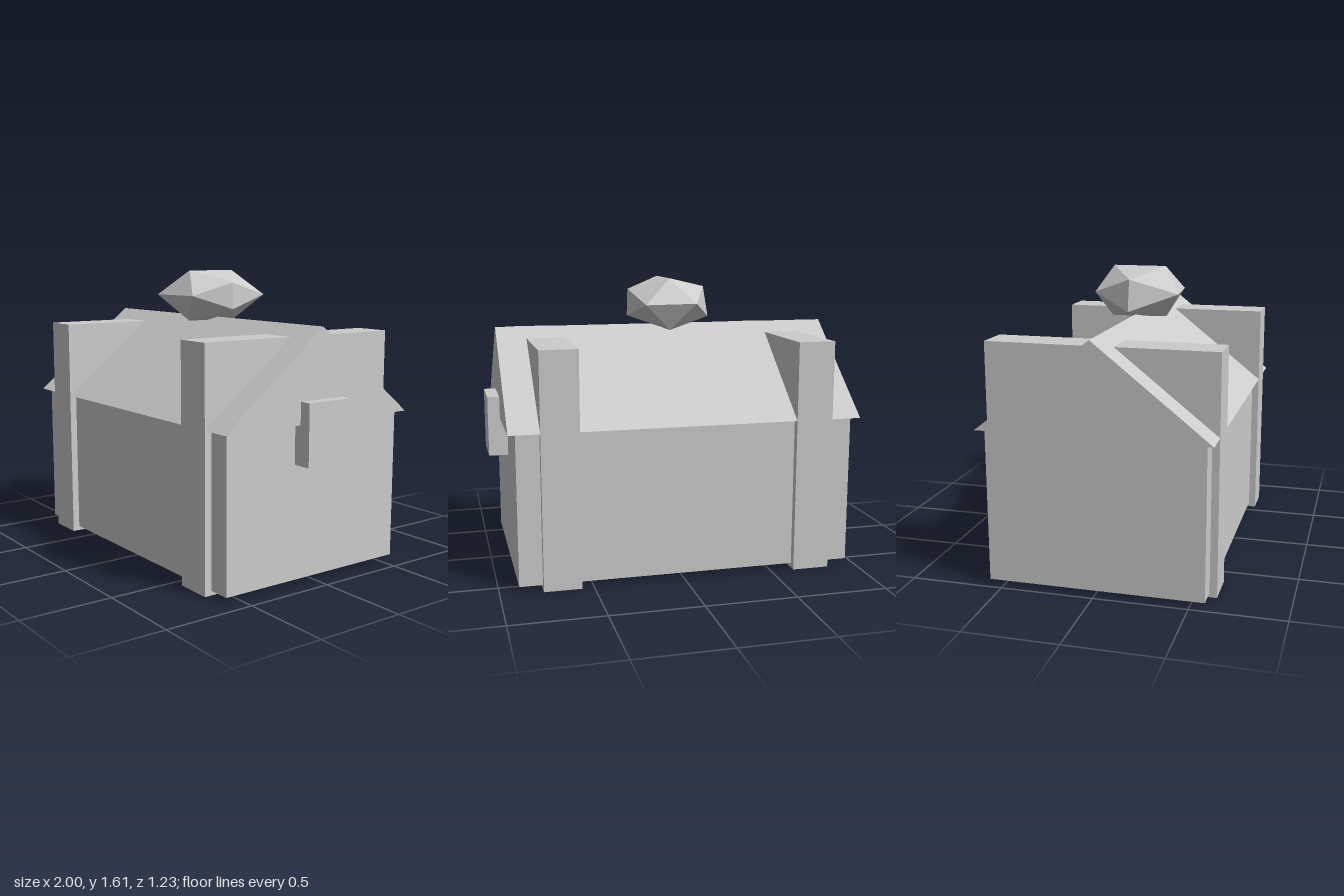
import * as THREE from 'three';
import { ConvexGeometry } from 'three/addons/geometries/ConvexGeometry.js';

export function createModel() {
  const model = new THREE.Group();
  model.name = 'gabledChest';
  const stone = new THREE.MeshStandardMaterial({ color: 0xcccccc });
  stone.name = 'light grey';

  function add(name, geometry) {
    const mesh = new THREE.Mesh(geometry, stone);
    mesh.name = name;
    model.add(mesh);
    return mesh;
  }

  // Box given by its extents, centred on z = 0
  function addBox(name, x0, x1, y0, y1, depth) {
    const mesh = add(name, new THREE.BoxGeometry(x1 - x0, y1 - y0, depth));
    mesh.position.set((x0 + x1) / 2, (y0 + y1) / 2, 0);
  }

  // Main body
  addBox('body', -0.96, 0.895, 0.025, 0.85, 1.155);

  // Gabled lid, a triangle extruded along x
  const gable = new THREE.Shape([
    new THREE.Vector2(-0.617, 0.85),
    new THREE.Vector2(0.617, 0.85),
    new THREE.Vector2(0, 1.34),
  ]);
  const roof = new THREE.ExtrudeGeometry(gable, { depth: 1.935, bevelEnabled: false });
  roof.rotateY(Math.PI / 2).translate(-1, 0, 0);
  add('roof', roof);

  // Two bands wrapping the body, their tops standing out of the roof slopes
  addBox('rightBand', -0.835, -0.63, 0, 1.28, 1.234);
  addBox('leftBand', 0.565, 0.77, 0, 1.28, 1.234);

  // Plate on the gable end
  addBox('endPlate', 0.88, 1, 0.64, 0.97, 0.285);

  // Squashed, slightly uneven twenty-sided gem above the ridge
  const corners = [
    [-0.03, 1.605, 0.15], [-0.03, 1.605, -0.15],
    [-0.03, 1.32, 0.155], [-0.03, 1.315, -0.16],
    [-0.27, 1.55, 0], [0.18, 1.54, 0],
    [-0.3, 1.375, 0], [0.185, 1.39, 0],
    [-0.195, 1.467, 0.26], [0.115, 1.467, 0.23],
    [0.13, 1.465, -0.265], [-0.17, 1.465, -0.225],
  ];
  add('gem', new ConvexGeometry(corners.map((c) => new THREE.Vector3(...c))));

  return model;
}
